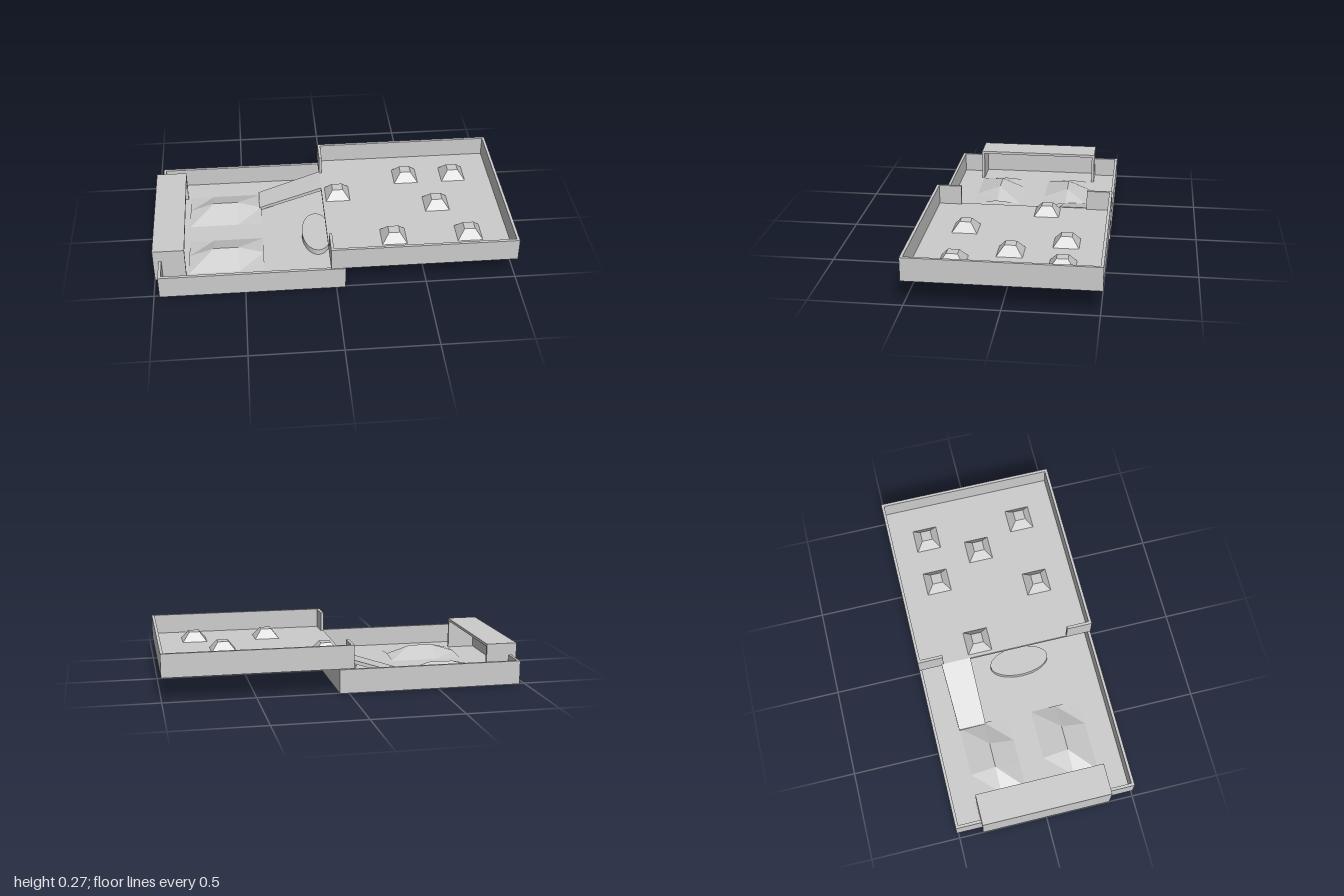
import * as THREE from 'three';

const mat = new THREE.MeshStandardMaterial({ color: 0xcccccc, flatShading: true, side: THREE.DoubleSide });
const WALL = 0.016;
const FLOOR = 0.018;
const GATE = 0.365; // half width of the openings

function add(parent, name, geometry, x = 0, y = 0, z = 0) {
  const mesh = new THREE.Mesh(geometry, mat);
  mesh.name = name;
  mesh.position.set(x, y, z);
  parent.add(mesh);
  return mesh;
}

// Box given by its minimum and maximum corners
function block(parent, name, x0, x1, y0, y1, z0, z1) {
  return add(parent, name, new THREE.BoxGeometry(x1 - x0, y1 - y0, z1 - z0),
    (x0 + x1) / 2, (y0 + y1) / 2, (z0 + z1) / 2);
}

// Open tray whose -x wall has a wide opening in the middle
function tray(name, x0, x1, y0, y1) {
  const g = new THREE.Group();
  g.name = name;
  const d = 0.51, yf = y0 + FLOOR;
  block(g, 'floor', x0, x1, y0, yf, -d, d);
  block(g, 'backWall', x0, x1, yf, y1, -d, -d + WALL);
  block(g, 'frontWall', x0, x1, yf, y1, d - WALL, d);
  block(g, 'endWallBack', x0, x0 + WALL, yf, y1, -d + WALL, -GATE);
  block(g, 'endWallFront', x0, x0 + WALL, yf, y1, GATE, d - WALL);
  return g;
}

// Low ridge: a 3 x 2 grid with its middle row raised
function hillGeometry(width, depth, height) {
  const geo = new THREE.PlaneGeometry(width, depth, 3, 2).rotateX(-Math.PI / 2);
  const p = geo.attributes.position;
  for (let i = 0; i < p.count; i++) {
    if (Math.abs(p.getZ(i)) > 0.01) continue;
    p.setY(i, Math.abs(p.getX(i)) < width / 3 ? height : height * 0.2);
  }
  geo.computeVertexNormals();
  return geo;
}

export function createModel() {
  const model = new THREE.Group();
  model.name = 'twoLevelCourse';

  // Lower level, closed at its inner end
  const lower = tray('lowerTray', -0.97, 0.05, 0, 0.132);
  block(lower, 'innerEndWall', 0.05 - WALL, 0.05, FLOOR, 0.132, -0.51 + WALL, 0.51 - WALL);
  model.add(lower);

  // Upper level
  const upperY = 0.136;
  const upper = tray('upperTray', -0.03, 1, upperY, 0.265);
  block(upper, 'outerEndWall', 1 - WALL, 1, upperY + FLOOR, 0.265, -0.51 + WALL, 0.51 - WALL);
  model.add(upper);

  // Covered bay at the far end, open towards the tray
  const bay = new THREE.Group();
  bay.name = 'coveredBay';
  block(bay, 'bayRoof', -1, -0.825, 0.2 - WALL, 0.2, -GATE, GATE);
  block(bay, 'bayRearWall', -1, -1 + WALL, 0, 0.2 - WALL, -GATE, GATE);
  block(bay, 'bayFloor', -1 + WALL, -0.97, 0, FLOOR, -GATE, GATE);
  for (const s of [-1, 1]) {
    const a = s * GATE, b = s * (GATE - WALL);
    block(bay, 'baySide', -1 + WALL, -0.825, FLOOR, 0.2 - WALL, Math.min(a, b), Math.max(a, b));
    block(bay, 'baySideFoot', -1 + WALL, -0.97, 0, FLOOR, Math.min(a, b), Math.max(a, b));
  }
  model.add(bay);

  // Sloping plank joining the levels
  const plank = new THREE.Shape([
    new THREE.Vector2(-0.4, 0.014), new THREE.Vector2(-0.03, 0.136),
    new THREE.Vector2(-0.03, 0.157), new THREE.Vector2(-0.4, 0.034),
  ]);
  const ramp = new THREE.ExtrudeGeometry(plank, { depth: 0.155, bevelEnabled: false });
  const rp = ramp.attributes.position;
  for (let i = 0; i < rp.count; i++) {
    // slight flare of the rear edge
    if (rp.getZ(i) < 0.01) rp.setZ(i, -(rp.getX(i) + 0.4) * 0.04);
  }
  ramp.computeVertexNormals();
  add(model, 'ramp', ramp, 0, 0, -0.363);

  // Oval raised pad
  const pad = add(model, 'ovalPad', new THREE.CylinderGeometry(1, 1, 0.034, 32), -0.078, FLOOR + 0.017, 0.07);
  pad.scale.set(0.085, 1, 0.17);

  // Long hills on the lower level
  for (const z of [-0.215, 0.208]) {
    add(model, 'hill', hillGeometry(0.42, 0.285, 0.057), -0.6, FLOOR + 0.0005, z);
  }

  // Truncated pyramids on the upper level
  const bumps = [[0.48, -0.29], [0.765, -0.29], [0.06, -0.145], [0.625, -0.005], [0.34, 0.28], [0.765, 0.28]];
  for (const [x, z] of bumps) {
    const geo = new THREE.CylinderGeometry(0.03 * Math.SQRT2, 0.07 * Math.SQRT2, 0.052, 4).rotateY(Math.PI / 4);
    add(model, 'bump', geo, x, upperY + FLOOR + 0.026, z);
  }
  return model;
}
